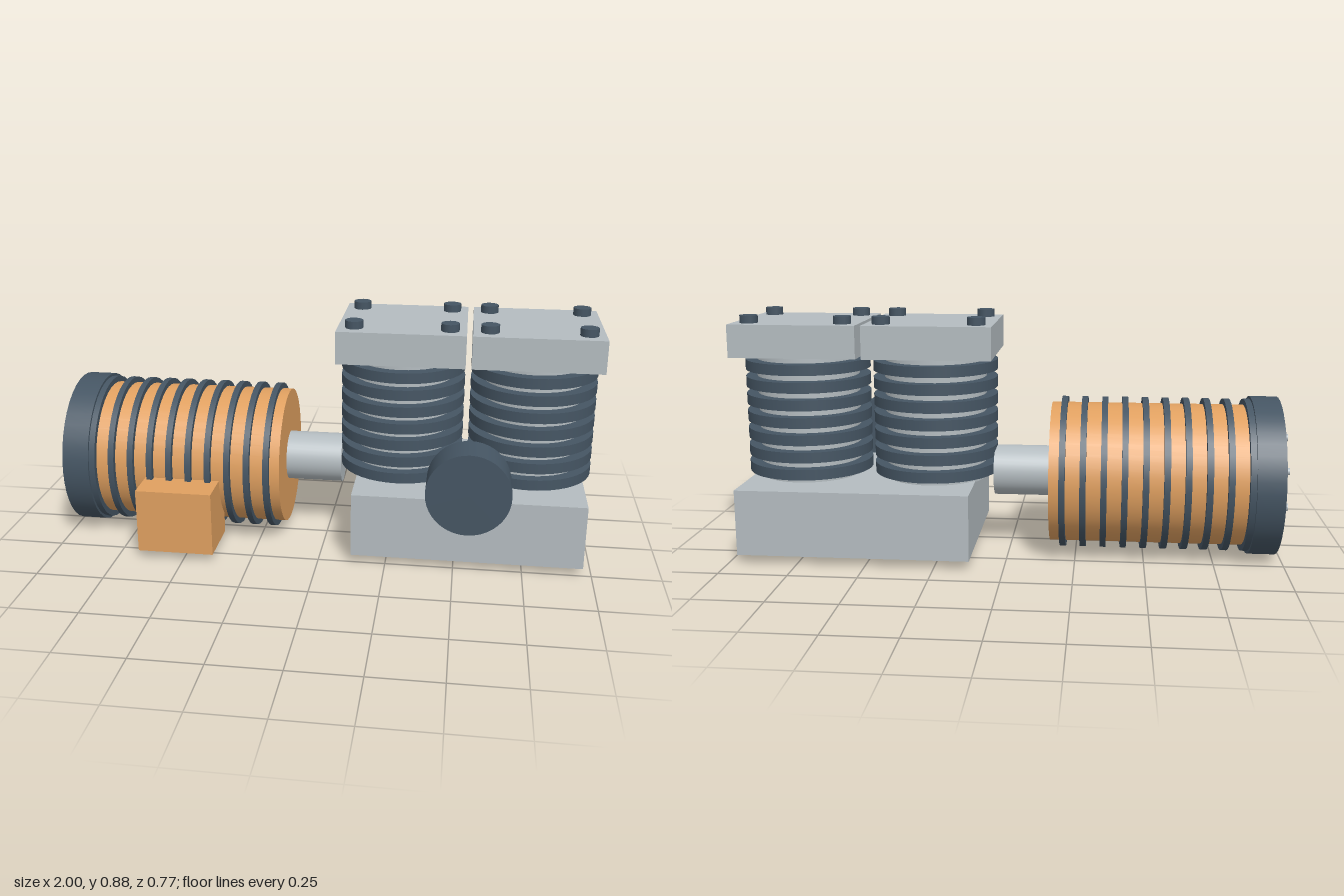
import * as THREE from 'three';

const orange = new THREE.MeshStandardMaterial({ color: 0xe0a060 });
const dark = new THREE.MeshStandardMaterial({ color: 0x455563 });
const steel = new THREE.MeshStandardMaterial({ color: 0xb4bcc0 });

const AXIS_Y = 0.295, AXIS_Z = -0.065; // shared shaft line

export function createModel() {
  const model = new THREE.Group();
  model.name = 'compressor';

  const group = (name) => {
    const g = new THREE.Group();
    g.name = name;
    model.add(g);
    return g;
  };
  const add = (parent, name, geometry, material, x, y, z) => {
    const mesh = new THREE.Mesh(geometry, material);
    mesh.name = name;
    mesh.position.set(x, y, z);
    parent.add(mesh);
    return mesh;
  };
  // Box given by its limits
  const box = (parent, name, material, x0, x1, y0, y1, z0, z1) =>
    add(parent, name, new THREE.BoxGeometry(x1 - x0, y1 - y0, z1 - z0), material,
      (x0 + x1) / 2, (y0 + y1) / 2, (z0 + z1) / 2);
  // Cylinder lying along x between two ends
  const rodX = (parent, name, material, r, x0, x1, y = AXIS_Y, z = AXIS_Z, sides = 40) =>
    add(parent, name, new THREE.CylinderGeometry(r, r, x1 - x0, sides).rotateZ(Math.PI / 2),
      material, (x0 + x1) / 2, y, z);
  // Upright cylinder between two heights
  const rodY = (parent, name, material, r, y0, y1, x, z, sides = 40) =>
    add(parent, name, new THREE.CylinderGeometry(r, r, y1 - y0, sides), material, x, (y0 + y1) / 2, z);

  // Motor with cooling fins, end cap, cap bolts and terminal box
  const motor = group('motor');
  rodX(motor, 'motorBody', orange, 0.26, -0.89, -0.155);
  for (let i = 0; i < 10; i++) {
    const x = -0.203 - i * 0.074;
    rodX(motor, 'motorFin', dark, 0.282, x - 0.011, x + 0.011);
  }
  rodX(motor, 'motorEndCap', dark, 0.292, -0.98, -0.88);
  for (let i = 0; i < 10; i++) {
    const a = Math.PI / 2 + (i * Math.PI) / 5;
    rodX(motor, 'capBolt', steel, 0.013, -1, -0.975,
      AXIS_Y + 0.21 * Math.sin(a), AXIS_Z + 0.21 * Math.cos(a), 12);
  }
  box(motor, 'terminalBox', orange, -0.668, -0.385, 0.034, 0.275, 0.12, 0.327);

  // Drive shaft and crankcase
  rodX(model, 'driveShaft', steel, 0.094, -0.16, 0.057);
  box(model, 'crankcase', steel, 0.122, 0.968, 0.034, 0.275, -0.386, 0.256);

  // Two finned cylinders with bolted heads
  for (const x of [0.282, 0.767]) {
    const unit = group('cylinderUnit');
    rodY(unit, 'cylinderBarrel', steel, 0.19, 0.27, 0.745, x, AXIS_Z);
    for (let i = 0; i < 7; i++) {
      const y = 0.313 + i * 0.0641;
      rodY(unit, 'cylinderFin', dark, 0.232, y - 0.0195, y + 0.0195, x, AXIS_Z);
    }
    box(unit, 'cylinderHead', steel, x - 0.232, x + 0.232, 0.739, 0.859, AXIS_Z - 0.222, AXIS_Z + 0.222);
    for (const sx of [-1, 1]) for (const sz of [-1, 1]) {
      rodY(unit, 'headBolt', dark, 0.033, 0.855, 0.887, x + sx * 0.172, AXIS_Z + sz * 0.151, 12);
    }
  }

  // Round air filter on the front
  add(model, 'airFilter', new THREE.CylinderGeometry(0.15, 0.15, 0.142, 40).rotateX(Math.PI / 2),
    dark, 0.544, 0.354, 0.317);

  return model;
}
